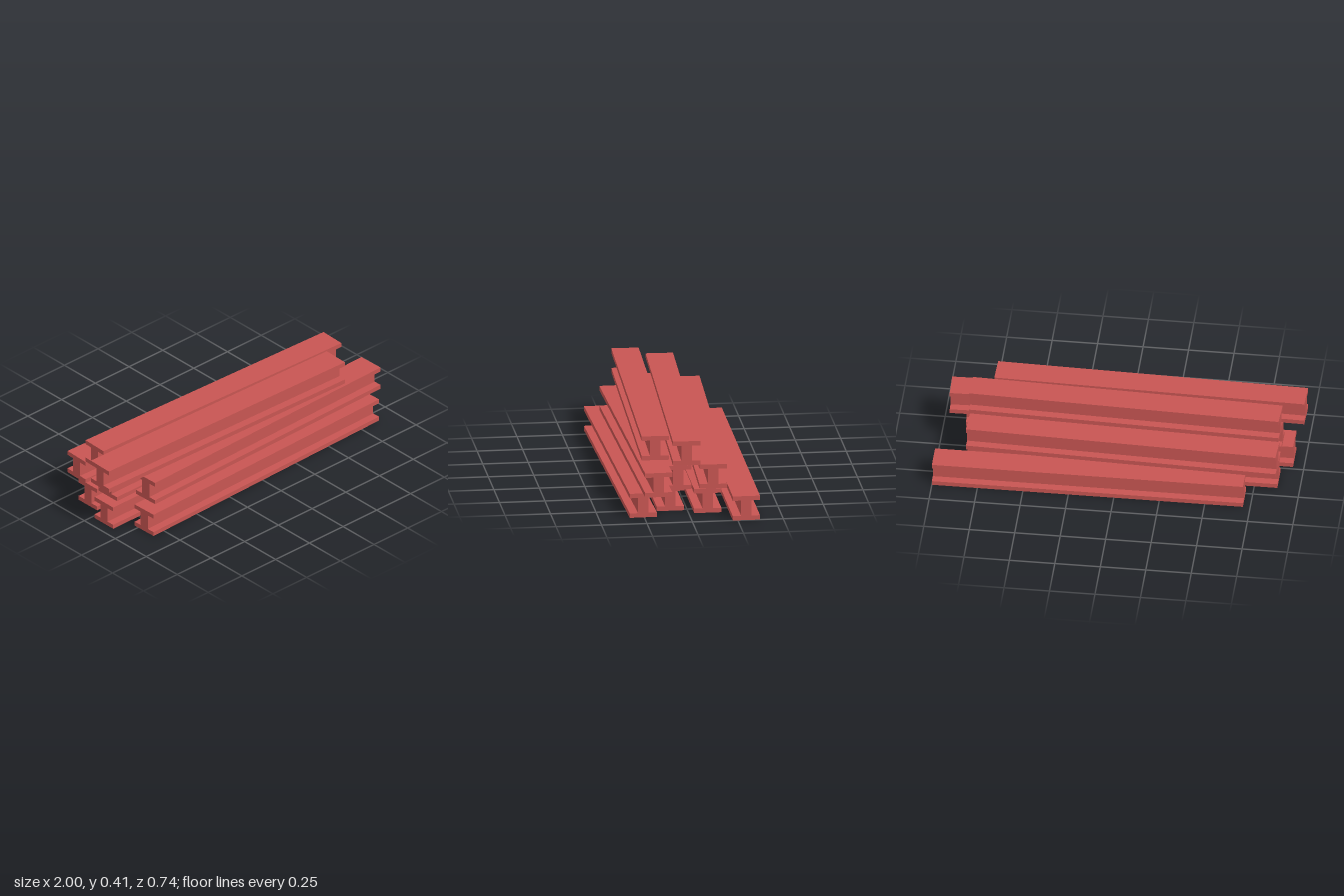
import * as THREE from 'three';

const LENGTH = 1.71, WIDTH = 0.15, HEIGHT = 0.1365, FLANGE = 0.025, WEB = 0.058;

// I-shaped cross-section, extruded lengthwise and laid along x
function beamGeometry() {
  const w = WIDTH / 2, b = WEB / 2, top = HEIGHT, t = FLANGE;
  const outline = [
    [-w, 0], [w, 0], [w, t], [b, t], [b, top - t], [w, top - t],
    [w, top], [-w, top], [-w, top - t], [-b, top - t], [-b, t], [-w, t],
  ];
  const shape = new THREE.Shape(outline.map(([x, y]) => new THREE.Vector2(x, y)));
  const geometry = new THREE.ExtrudeGeometry(shape, { depth: LENGTH, bevelEnabled: false });
  geometry.translate(0, 0, -LENGTH / 2);
  geometry.rotateY(Math.PI / 2);
  return geometry;
}

export function createModel() {
  const model = new THREE.Group();
  model.name = 'beamStack';
  const steel = new THREE.MeshStandardMaterial({ color: 0xc75552 });
  steel.name = 'red steel';
  const geometry = beamGeometry();

  // Each layer lists its beams as [x, z, turn about y]
  const layers = [
    ['bottomBeam', [[0.145, -0.297, 0], [-0.022, -0.105, 0], [-0.085, 0.093, 0], [0.025, 0.276, 0.0246]]],
    ['middleBeam', [[-0.025, -0.165, -0.035], [-0.025, 0.058, 0], [0.105, 0.201, 0.0246]]],
    ['topBeam', [[-0.025, -0.019, -0.035], [-0.145, 0.147, -0.0255]]],
  ];
  layers.forEach(([name, beams], level) => {
    beams.forEach(([x, z, turn], i) => {
      const beam = new THREE.Mesh(geometry, steel);
      beam.name = name + (i + 1);
      beam.position.set(x, level * HEIGHT, z);
      beam.rotation.y = turn;
      model.add(beam);
    });
  });
  return model;
}
